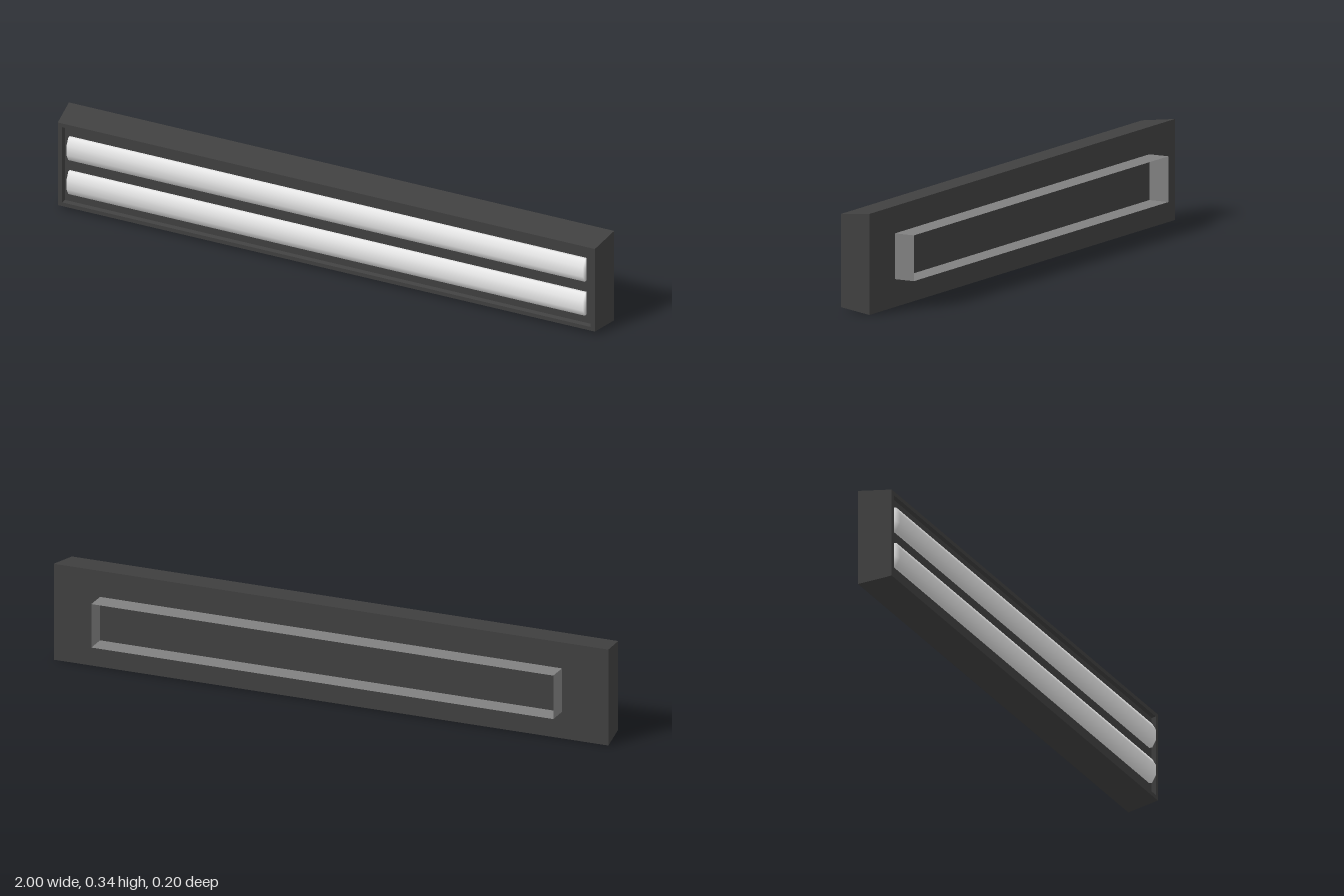
import * as THREE from 'three';
import { mergeVertices } from 'three/addons/utils/BufferGeometryUtils.js';

const MID_Y = 0.17;

// Skin a run of centred rectangles [halfWidth, halfHeight, z], back to front
function rectLoft(rings, capped) {
  const pos = [];
  const corners = ([w, h, z]) => [[-w, -h, z], [w, -h, z], [w, h, z], [-w, h, z]];
  const quad = (a, b, c, d) => pos.push(...a, ...b, ...c, ...a, ...c, ...d);
  for (let i = 0; i < rings.length - 1; i++) {
    const a = corners(rings[i]), b = corners(rings[i + 1]);
    for (let k = 0; k < 4; k++) {
      const n = (k + 1) % 4;
      quad(a[k], a[n], b[n], b[k]);
    }
  }
  if (capped) {
    const [a, b, c, d] = corners(rings[0]);
    quad(d, c, b, a);
    quad(...corners(rings[rings.length - 1]));
  }
  const g = new THREE.BufferGeometry();
  g.setAttribute('position', new THREE.Float32BufferAttribute(pos, 3));
  g.computeVertexNormals();
  return g;
}

export function createModel() {
  const housingGrey = new THREE.MeshStandardMaterial({ color: 0x404040 });
  housingGrey.name = 'housingGrey';
  const mountGrey = new THREE.MeshStandardMaterial({ color: 0x808080, side: THREE.DoubleSide });
  mountGrey.name = 'mountGrey';
  const tubeWhite = new THREE.MeshStandardMaterial({ color: 0xececec });
  tubeWhite.name = 'tubeWhite';

  const model = new THREE.Group();
  model.name = 'tubeLight';
  const add = (name, geometry, material, y, z = 0) => {
    const mesh = new THREE.Mesh(geometry, material);
    mesh.name = name;
    mesh.position.set(0, y, z);
    model.add(mesh);
  };

  // Tapered housing with a raised rim around a shallow recess
  add('housing', rectLoft([
    [1, 0.17, -0.027],
    [0.985, 0.157, 0.09],
    [0.969, 0.143, 0.09],
    [0.965, 0.139, 0.077],
  ], true), housingGrey, MID_Y);

  // Open-backed mounting frame made of thin walls
  add('wallMount', rectLoft([
    [0.833, 0.077, -0.1],
    [0.833, 0.077, -0.027],
  ], false), mountGrey, MID_Y + 0.001);

  // Two flattened eight-sided tubes, shaded smoothly right over their ends
  let tube = new THREE.CylinderGeometry(0.0465, 0.0465, 1.895, 8);
  tube.deleteAttribute('normal');
  tube.deleteAttribute('uv');
  tube.rotateY(Math.PI / 8);
  tube.rotateZ(Math.PI / 2);
  tube.scale(1, 1, 0.57);
  tube = mergeVertices(tube, 1e-4);
  tube.computeVertexNormals();
  add('upperTube', tube, tubeWhite, 0.235, 0.0775);
  add('lowerTube', tube, tubeWhite, 0.106, 0.0775);

  return model;
}
